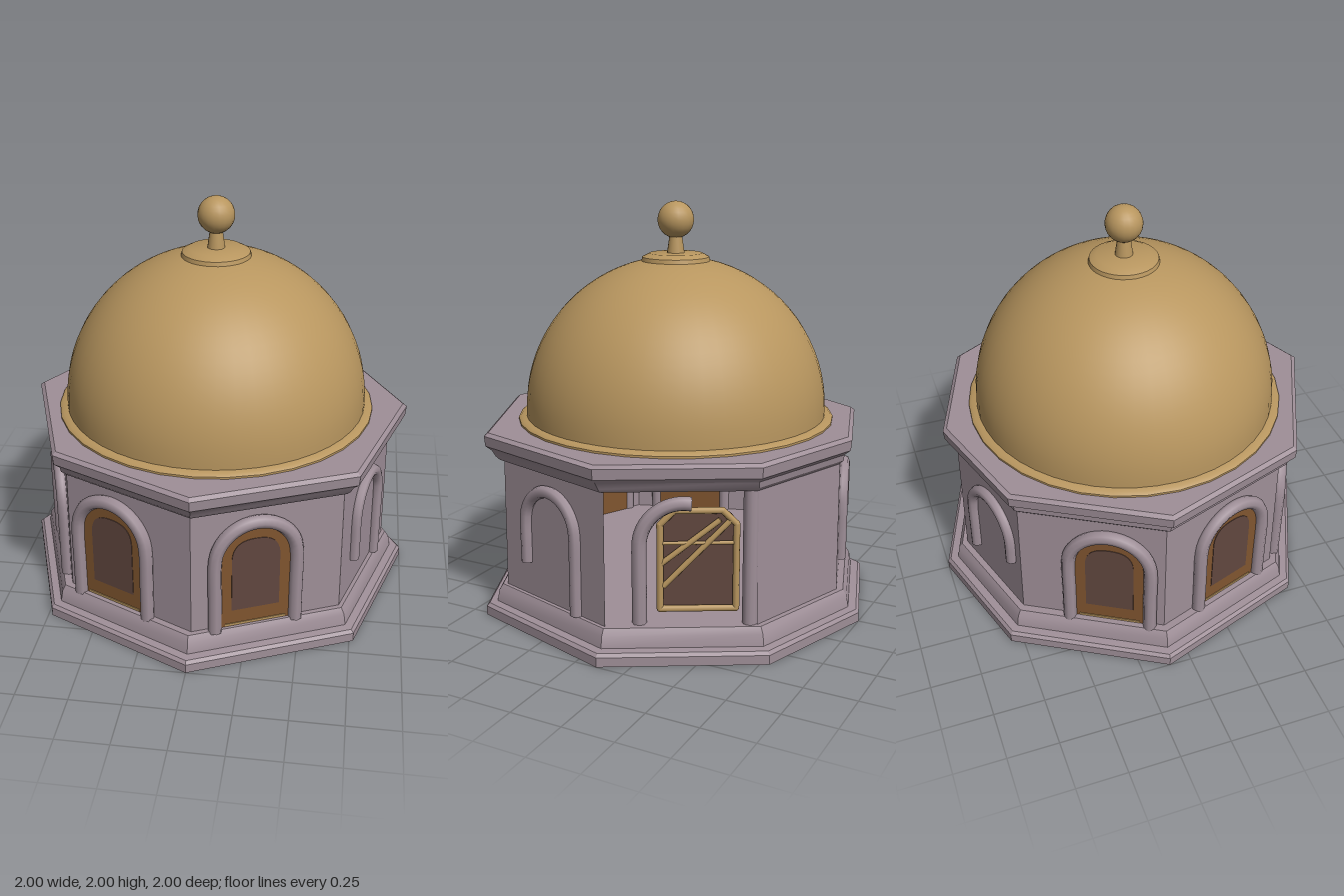
import * as THREE from 'three';
import { toCreasedNormals } from 'three/addons/utils/BufferGeometryUtils.js';

const mat = (name, color, side = THREE.FrontSide) =>
  Object.assign(new THREE.MeshStandardMaterial({ color, side }), { name });

// Slightly irregular octagon footprint [x, z], starting at the front corner
const PLAN = [[0, 1], [0.77, 0.66], [1, -0.11], [0.62, -0.79], [0, -1], [-0.6, -0.81], [-1, -0.11], [-0.73, 0.66]];
const WALL = 0.885, OX = 0.01, OPEN_FACE = 2;
const wallPoint = (i) => PLAN[i % 8].map((v, k) => v * WALL + (k ? 0 : OX));

// Stacks octagon rings [y, scale, offsetX, offsetZ] into a faceted solid
function octagonStack(rings, { caps = true, skip = -1 } = {}) {
  const pos = [];
  const at = ([y, s, ox = 0, oz = 0], i) => {
    const [x, z] = PLAN[i % 8];
    return [x * s + ox, y, z * s + oz];
  };
  for (let i = 0; i < 8; i++) {
    for (let r = 0; r + 1 < rings.length; r++) {
      if (i === skip) continue;
      const a = at(rings[r], i), b = at(rings[r], i + 1);
      const c = at(rings[r + 1], i + 1), d = at(rings[r + 1], i);
      pos.push(...a, ...b, ...c, ...a, ...c, ...d);
    }
    if (caps) {
      const lo = rings[0], hi = rings[rings.length - 1];
      pos.push(0, hi[0], 0, ...at(hi, i), ...at(hi, i + 1));
      pos.push(0, lo[0], 0, ...at(lo, i + 1), ...at(lo, i));
    }
  }
  const g = new THREE.BufferGeometry();
  g.setAttribute('position', new THREE.Float32BufferAttribute(pos, 3));
  return toCreasedNormals(g, 0.5);
}

// Plate with a rounded top and square foot
function archPlate(w, bottom, top, r, depth) {
  const h = w / 2, s = new THREE.Shape();
  s.moveTo(-h, bottom);
  s.lineTo(h, bottom);
  s.lineTo(h, top - r);
  s.quadraticCurveTo(h, top, h - r, top);
  s.lineTo(-h + r, top);
  s.quadraticCurveTo(-h, top, -h, top - r);
  s.closePath();
  return new THREE.ExtrudeGeometry(s, { depth, bevelEnabled: false, curveSegments: 10 });
}

// Round moulding: left leg, arch, right leg (partial arcs leave off the right leg)
function archTube(radius, spring, leftFoot, rightFoot, tube, sweep = Math.PI) {
  const pts = [new THREE.Vector3(-radius, leftFoot, 0), new THREE.Vector3(-radius, (leftFoot + spring) / 2, 0)];
  for (let k = 0; k <= 10; k++) {
    const a = Math.PI - (sweep * k) / 10;
    pts.push(new THREE.Vector3(Math.cos(a) * radius, spring + Math.sin(a) * radius, 0));
  }
  if (rightFoot !== null) {
    pts.push(new THREE.Vector3(radius, (rightFoot + spring) / 2, 0), new THREE.Vector3(radius, rightFoot, 0));
  }
  return new THREE.TubeGeometry(new THREE.CatmullRomCurve3(pts, false, 'centripetal'), 48, tube, 8);
}

function rod(a, b, r) {
  const line = new THREE.LineCurve3(new THREE.Vector3(...a), new THREE.Vector3(...b));
  return new THREE.TubeGeometry(line, 1, r, 8);
}

export function createModel() {
  const model = new THREE.Group();
  const stone = mat('mauve stone', 0x9f8f98, THREE.DoubleSide);
  const gold = mat('old gold', 0xb8965f, THREE.DoubleSide);
  const wood = mat('brown wood', 0x80552f);
  const glass = mat('dark glass', 0x61473f, THREE.DoubleSide);

  const add = (parent, name, geo, material, x = 0, y = 0, z = 0) => {
    const m = new THREE.Mesh(geo, material);
    m.name = name;
    m.position.set(x, y, z);
    parent.add(m);
    return m;
  };

  // Plinth, walls and cornice
  add(model, 'plinth', octagonStack([[0, 1], [0.045, 1], [0.06, 0.985], [0.065, 0.945], [0.12, 0.935], [0.15, 0.915]]), stone);
  add(model, 'walls', octagonStack([[0.14, WALL, OX], [0.82, WALL - 0.005, OX]], { caps: false, skip: OPEN_FACE }), stone);
  add(model, 'cornice', octagonStack([
    [0.79, 0.89, 0.015, 0.01], [0.81, 0.91, 0.015, 0.01], [0.84, 0.92, 0.02, 0.015],
    [0.865, 0.95, 0.02, 0.015], [0.915, 0.955, 0.02, 0.015], [0.93, 0.935, 0.02, 0.015],
  ]), stone);

  // Dome with rim, cap and finial, turned on a lathe
  const lathe = (pts, seg) => toCreasedNormals(new THREE.LatheGeometry(pts.map((p) => new THREE.Vector2(...p)), seg), 0.6);
  const domePts = [[0.75, 0.92]];
  for (let k = 0; k <= 20; k++) {
    const a = (k / 20) * Math.PI / 2;
    domePts.push([Math.cos(a) * 0.75, 0.98 + Math.sin(a) * 0.75]);
  }
  domePts[domePts.length - 1][0] = 0;
  add(model, 'dome', lathe(domePts, 48), gold, OX);
  add(model, 'domeRim', lathe([[0.74, 0.92], [0.79, 0.925], [0.79, 0.94], [0.775, 0.952], [0.74, 0.955]], 32), gold, OX);
  add(model, 'domeCap', lathe([[0.15, 1.69], [0.17, 1.71], [0.165, 1.73], [0.13, 1.748], [0, 1.75]], 32), gold, OX);
  add(model, 'finialStem', new THREE.CylinderGeometry(0.028, 0.045, 0.12, 16), gold, OX, 1.795);
  add(model, 'finialBall', new THREE.SphereGeometry(0.09, 20, 14), gold, OX, 1.91);

  // Group placed on wall face i at fraction t, facing outwards
  const onFace = (name, i, t) => {
    const [ax, az] = wallPoint(i), [bx, bz] = wallPoint(i + 1);
    const g = new THREE.Group();
    g.name = name;
    g.position.set(ax + (bx - ax) * t, 0, az + (bz - az) * t);
    g.rotation.y = Math.atan2(-(bz - az), bx - ax);
    model.add(g);
    return g;
  };

  // Arched windows: wooden frame, glass pane and stone moulding
  for (const [i, t] of [[0, 0.42], [5, 0.62], [6, 0.57], [7, 0.38]]) {
    const g = onFace('archedWindow', i, t);
    add(g, 'windowFrame', archPlate(0.36, 0.15, 0.685, 0.16, 0.009), wood);
    add(g, 'windowPane', archPlate(0.235, 0.24, 0.625, 0.11, 0.005), glass, 0, 0, 0.007);
    add(g, 'windowBack', archPlate(0.36, 0.15, 0.685, 0.16, 0.005), wood, 0, 0, -0.012);
    add(g, 'windowSill', new THREE.BoxGeometry(0.3, 0.012, 0.014), gold, 0, 0.16, 0.006);
    add(g, 'archMoulding', archTube(0.2, 0.515, 0.14, 0.14, 0.034), stone, 0, 0, 0.012);
  }

  // Blind arches, their legs fading into the wall
  for (const [i, t, left, right] of [[1, 0.49, 0.32, 0.15], [4, 0.56, 0.26, 0.42]]) {
    const g = onFace('blindArch', i, t);
    add(g, 'blindArchMoulding', archTube(0.175, 0.53, left, right, 0.03), stone, 0, 0, 0.008);
  }

  // Open bay: corner post, half arch and barred window set back
  const [px, pz] = wallPoint(3);
  add(model, 'cornerPost', new THREE.CylinderGeometry(0.036, 0.036, 0.66, 12), stone, px - 0.01, 0.47, pz + 0.04);
  const bay = onFace('openBay', OPEN_FACE, 0.56);
  add(bay, 'halfArch', archTube(0.2, 0.52, 0.14, null, 0.034, 1.75), stone, -0.03, 0, -0.04);
  add(bay, 'bayPane', archPlate(0.34, 0.18, 0.66, 0.07, 0.005), glass, 0.04, 0, -0.125);
  const outline = [[-0.175, 0.19], [0.175, 0.19], [0.175, 0.6], [0.11, 0.665], [-0.11, 0.665], [-0.175, 0.6]];
  outline.forEach(([x, y], k) => {
    const [nx, ny] = outline[(k + 1) % outline.length];
    add(bay, 'barFrame', rod([x, y, 0], [nx, ny, 0], 0.016), gold, 0.04, 0, -0.1);
    add(bay, 'barFrameJoint', new THREE.SphereGeometry(0.016, 8, 6), gold, 0.04 + x, y, -0.1);
  });
  for (const [a, b, r] of [
    [[-0.17, 0.51, 0], [0.17, 0.51, 0], 0.009],
    [[-0.16, 0.3, 0], [0.15, 0.62, 0], 0.014],
    [[-0.17, 0.41, 0], [0.1, 0.62, 0], 0.014],
  ]) add(bay, 'windowBar', rod(a, b, r), gold, 0.04, 0, -0.1);

  return model;
}
